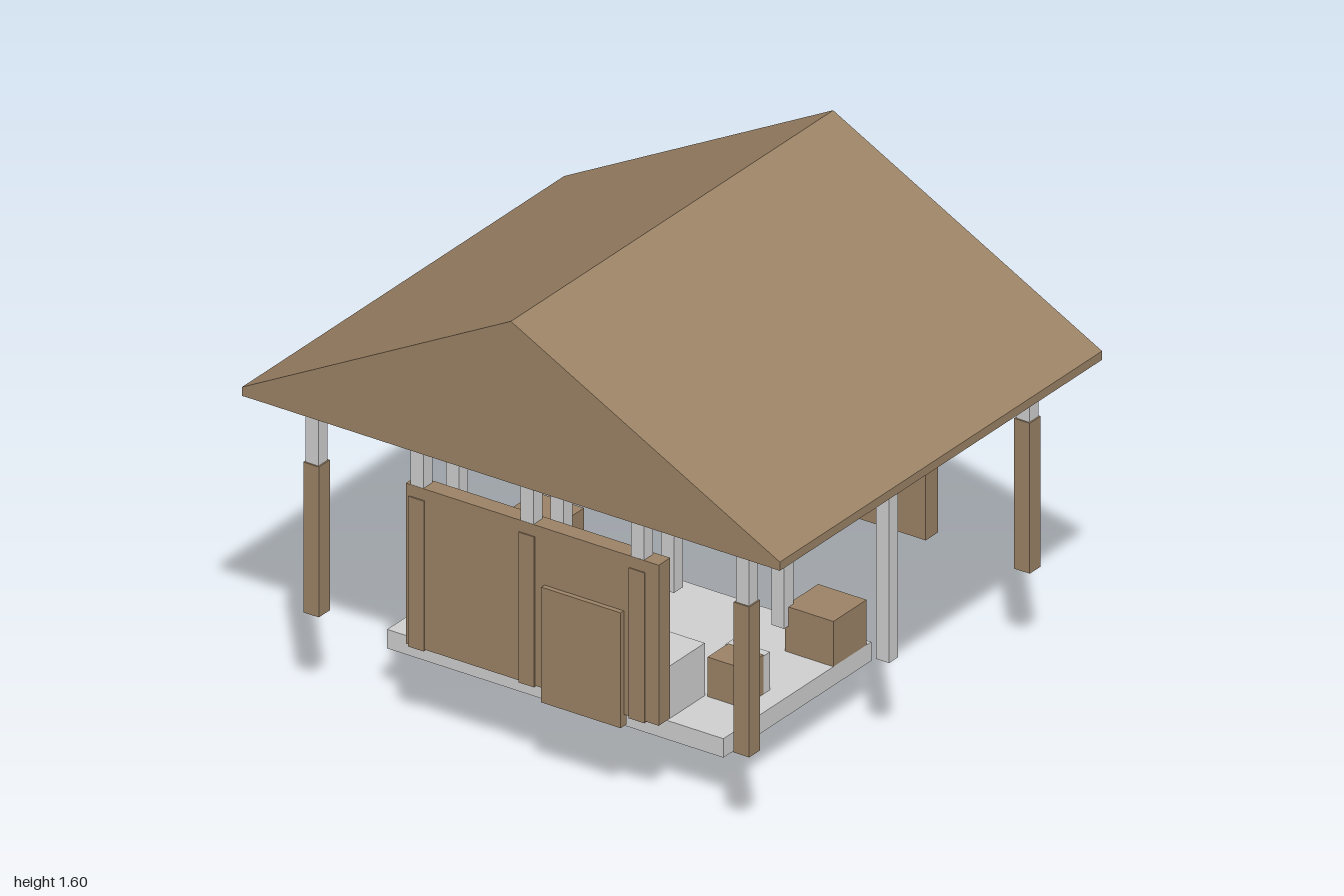
import * as THREE from 'three';

export function createModel() {
  const model = new THREE.Group();
  model.name = 'openPavilion';

  const brown = new THREE.MeshStandardMaterial({ color: 0x9c8366 });
  brown.name = 'weathered brown';
  const light = new THREE.MeshStandardMaterial({ color: 0xd0d0d0 });
  light.name = 'pale grey';

  const add = (name, geometry, material, parent = model) => {
    const mesh = new THREE.Mesh(geometry, material);
    mesh.name = name;
    parent.add(mesh);
    return mesh;
  };
  // Box given by its ranges on each axis
  const box = (name, mat, [x0, x1], [y0, y1], [z0, z1], parent) => {
    const mesh = add(name, new THREE.BoxGeometry(x1 - x0, y1 - y0, z1 - z0), mat, parent);
    mesh.position.set((x0 + x1) / 2, (y0 + y1) / 2, (z0 + z1) / 2);
    return mesh;
  };
  // Square bar between two points in a plane of constant z
  const bar = (name, mat, x0, y0, x1, y1, z, t, parent) => {
    const mesh = add(name, new THREE.BoxGeometry(Math.hypot(x1 - x0, y1 - y0), t, t), mat, parent);
    mesh.position.set((x0 + x1) / 2, (y0 + y1) / 2, z);
    mesh.rotation.z = Math.atan2(y1 - y0, x1 - x0);
  };
  const extrude = (points, depth) => new THREE.ExtrudeGeometry(
    new THREE.Shape(points.map(([x, y]) => new THREE.Vector2(x, y))),
    { depth, bevelEnabled: false });

  // Hollow gable roof with closed ends
  const roof = new THREE.Group();
  roof.name = 'roof';
  model.add(roof);
  add('roofShell', extrude([[-1, 1.05], [-0.97, 1.05], [0, 1.565], [0.97, 1.05],
    [1, 1.05], [1, 1.08], [0, 1.605], [-1, 1.08]], 1.7), brown, roof).position.z = -0.85;
  for (const z of [-0.849, 0.829]) {
    add('gableWall', extrude([[-0.985, 1.05], [0.985, 1.05], [0, 1.58]], 0.02), brown, roof).position.z = z;
  }

  // Roof frame: tie beams, rafters, struts and long beams
  const frame = new THREE.Group();
  frame.name = 'roofFrame';
  model.add(frame);
  const columnsX = [-0.8, -0.41, 0, 0.41, 0.8];
  const rowsZ = [-0.74, 0, 0.74];
  for (const z of rowsZ) {
    bar('tieBeam', light, -0.95, 1.07, 0.95, 1.07, z, 0.045, frame);
    box('kingPost', light, [-0.022, 0.022], [1.07, 1.55], [z - 0.022, z + 0.022], frame);
    for (const s of [-1, 1]) {
      bar('rafter', brown, s * 0.93, 1.06, 0, 1.55, z, 0.04, frame);
      bar('strut', light, 0, 1.1, s * 0.41, 1.32, z, 0.035, frame);
    }
  }
  for (const x of columnsX) {
    box('longBeam', light, [x - 0.022, x + 0.022], [1.045, 1.09], [-0.83, 0.83], frame);
  }

  // Grid of posts; outer rows have brown sleeves
  const capGeometry = new THREE.CylinderGeometry(0.048, 0.034, 0.04, 4).rotateY(Math.PI / 4);
  for (const z of rowsZ) for (const x of columnsX) {
    const post = new THREE.Group();
    post.name = 'post';
    post.position.set(x, 0, z);
    model.add(post);
    box('postShaft', light, [-0.024, 0.024], [0.33, 1.06], [-0.024, 0.024], post);
    add('postCap', capGeometry, light, post).position.y = 1.035;
    if (z !== 0) box('postSleeve', brown, [-0.029, 0.029], [0.325, 0.84], [-0.029, 0.029], post);
  }

  // Front wall with door and pale lining
  box('frontWall', brown, [-0.45, 0.49], [0.33, 0.88], [0.705, 0.765]);
  box('frontWallLining', light, [-0.44, 0.48], [0.34, 0.87], [0.699, 0.705]);
  box('frontDoor', brown, [0.065, 0.36], [0.29, 0.685], [0.75, 0.782]);

  // Back wall with two raised panels
  box('backWall', brown, [-0.45, 0.45], [0.33, 0.88], [-0.765, -0.7]);
  for (const x of [-0.36, 0.04]) {
    box('backWallPanel', brown, [x, x + 0.32], [0.36, 0.685], [-0.773, -0.765]);
  }

  // Floor slab
  box('floorSlab', light, [-0.65, 0.6], [0.175, 0.24], [-0.2, 0.58]);

  // Crates and blocks standing on the floor
  const crates = [
    [brown, [0.42, 0.6], 0.395, [-0.175, 0]],
    [brown, [0.4, 0.53], 0.375, [0.27, 0.38]],
    [light, [0.39, 0.53], 0.37, [0.235, 0.27]],
    [light, [0.06, 0.39], 0.42, [0.38, 0.58]],
    [brown, [-0.63, -0.45], 0.395, [-0.175, 0]],
    [brown, [-0.6, -0.46], 0.35, [0.2, 0.31]],
    [light, [-0.44, -0.2], 0.385, [0.4, 0.56]],
  ];
  for (const [mat, xs, top, zs] of crates) box('crate', mat, xs, [0.235, top], zs);
  box('crateLid', brown, [-0.44, -0.2], [0.385, 0.394], [0.4, 0.56]);

  // Rounded boulders under the slab
  const boulders = [
    [0.14, 0.1, 0.29, 0.095, 0.085, 0.09],
    [0.16, 0.07, 0.27, 0.06, 0.065, 0.065],
    [0.235, 0.13, 0.35, 0.058, 0.06, 0.06],
    [0.11, 0.13, 0.36, 0.065, 0.055, 0.05],
  ];
  for (const [x, y, z, sx, sy, sz] of boulders) {
    const rock = add('boulder', new THREE.SphereGeometry(1, 16, 12), light);
    rock.position.set(x, y, z);
    rock.scale.set(sx, sy, sz);
  }
  return model;
}
